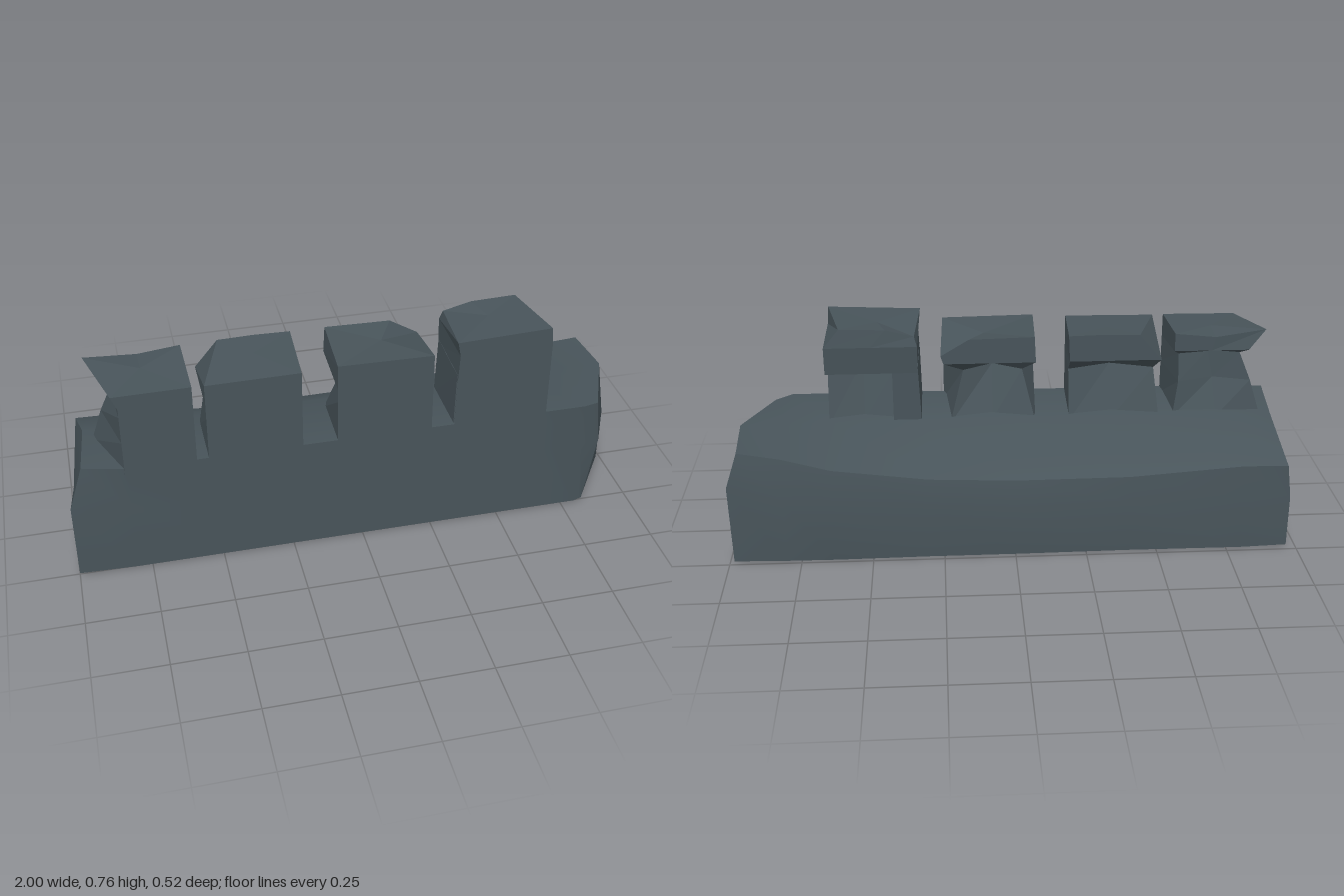
import * as THREE from 'three';
import { toCreasedNormals } from 'three/addons/utils/BufferGeometryUtils.js';

// Skin a row of equal-length rings; each end is closed by a fan around its tip.
function loft(rings, crease, startTip, endTip) {
  const out = [];
  const tri = (a, b, c) => out.push(...a, ...b, ...c);
  const centre = (r) => [0, 1, 2].map((k) => r.reduce((s, p) => s + p[k], 0) / r.length);
  const n = rings[0].length;
  const first = rings[0], last = rings[rings.length - 1];
  const a0 = startTip || centre(first), a1 = endTip || centre(last);
  for (let i = 0; i < n; i++) {
    const j = (i + 1) % n;
    for (let r = 0; r < rings.length - 1; r++) {
      const a = rings[r], b = rings[r + 1];
      tri(a[i], a[j], b[j]);
      tri(a[i], b[j], b[i]);
    }
    tri(a0, first[j], first[i]);
    tri(a1, last[i], last[j]);
  }
  const g = new THREE.BufferGeometry();
  g.setAttribute('position', new THREE.Float32BufferAttribute(out, 3));
  g.computeVertexNormals();
  return crease ? toCreasedNormals(g, crease) : g;
}

export function createModel() {
  const model = new THREE.Group();
  model.name = 'battlementWall';
  const stone = new THREE.MeshStandardMaterial({ color: 0x48545a });
  stone.name = 'darkStone';

  const add = (parent, name, geometry) => {
    const m = new THREE.Mesh(geometry, stone);
    m.name = name;
    parent.add(m);
  };

  // Wall base: sections along x, flat in front, bulging and sloped at the back
  const section = (x, zBottom, zMid, yMid, zTop, yTop) => [
    [x, 0.005, 0.26], [x, 0, 0.02], [x, 0.003, zBottom], [x, yMid, zMid],
    [x, yTop, zTop], [x, 0.422, 0], [x, 0.425, 0.26], [x, 0.26, 0.26],
  ];
  const leftEnd = [
    [0.83, 0.01, 0.255], [0.985, 0.003, 0.02], [0.985, 0.005, -0.235], [0.99, 0.29, -0.235],
    [0.95, 0.41, -0.21], [0.96, 0.42, 0], [0.86, 0.415, 0.235], [0.88, 0.25, 0.235],
  ];
  const rightEnd = [
    [-1, 0.012, 0.26], [-0.985, 0.01, 0.02], [-0.965, 0.01, -0.235], [-0.965, 0.2, -0.235],
    [-0.95, 0.32, -0.232], [-0.93, 0.42, 0], [-0.95, 0.43, 0.23], [-1, 0.29, 0.26],
  ];
  add(model, 'wallBase', loft([
    rightEnd,
    section(-0.8, -0.232, -0.235, 0.2, -0.225, 0.32),
    section(-0.4, -0.23, -0.235, 0.2, -0.225, 0.29),
    section(0, -0.235, -0.25, 0.2, -0.23, 0.29),
    section(0.3, -0.235, -0.24, 0.2, -0.225, 0.3),
    section(0.63, -0.24, -0.262, 0.22, -0.24, 0.35),
    section(0.8, -0.238, -0.25, 0.24, -0.225, 0.39),
    leftEnd,
  ], 0.7, [-0.985, 0.2, 0.02], [0.995, 0.2, 0]));

  // Level of a merlon: front left/right x, back left/right x, back z, middle notch z
  const level = (y, fl, fr, bl, br, zb, zn = zb) => [
    [fl, y, 0.26], [fr, y, 0.26], [br, y, zb], [(bl + br) / 2, y, zn], [bl, y, zb],
  ];

  // First merlon: pinched on its outer side under a pointed overhanging cap
  add(model, 'flaredMerlon', loft([
    level(0.4, -0.81, -0.57, -0.9, -0.58, 0.03),
    level(0.53, -0.81, -0.57, -0.86, -0.6, 0.05, 0.09),
    level(0.63, -0.81, -0.57, -0.82, -0.6, 0.07, 0.1),
    level(0.66, -0.81, -0.57, -0.84, -0.575, 0.015),
    [[-0.83, 0.71, 0.26], [-0.57, 0.712, 0.26], [-0.575, 0.725, 0.015], [-0.72, 0.71, 0.015], [-0.9, 0.73, 0.03]],
  ]));

  // Two middle merlons with chipped hollows below the cap at the back
  add(model, 'chippedMerlon', loft([
    level(0.4, -0.53, -0.21, -0.53, -0.205, 0.02, 0.05),
    level(0.58, -0.53, -0.21, -0.51, -0.205, 0.07, 0.12),
    level(0.63, -0.53, -0.21, -0.53, -0.205, 0.012),
    [[-0.53, 0.71, 0.26], [-0.21, 0.713, 0.26], [-0.2, 0.725, 0.012], [-0.33, 0.728, 0.012], [-0.45, 0.725, 0.012]],
  ]));
  add(model, 'hollowMerlon', loft([
    level(0.4, -0.09, 0.24, -0.085, 0.22, 0.015, 0.05),
    level(0.58, -0.09, 0.24, -0.04, 0.17, 0.08, 0.14),
    level(0.63, -0.09, 0.24, -0.085, 0.24, 0.012),
    [[-0.09, 0.72, 0.26], [0.24, 0.715, 0.26], [0.25, 0.66, 0.012], [0.15, 0.72, 0.012], [-0.08, 0.725, 0.012]],
  ]));

  // Last merlon: tallest, with a corner post and a recessed back under its cap
  const tall = new THREE.Group();
  tall.name = 'tallMerlon';
  model.add(tall);
  add(tall, 'recessedBody', loft([
    level(0.4, 0.32, 0.655, 0.4, 0.65, 0.03, 0.06),
    level(0.61, 0.325, 0.655, 0.4, 0.65, 0.09, 0.13),
  ]));
  add(tall, 'cornerPost', loft([
    [[0.32, 0.4, 0.25], [0.42, 0.4, 0.25], [0.42, 0.4, 0.012], [0.32, 0.4, 0.012]],
    [[0.325, 0.62, 0.25], [0.42, 0.62, 0.25], [0.42, 0.62, 0.012], [0.33, 0.62, 0.012]],
  ]));
  add(tall, 'cap', loft([
    level(0.6, 0.325, 0.655, 0.33, 0.655, 0.012),
    level(0.7, 0.33, 0.655, 0.33, 0.655, 0.005),
    [[0.32, 0.752, 0.26], [0.65, 0.765, 0.26], [0.6, 0.765, 0.015], [0.44, 0.76, 0.015], [0.34, 0.735, 0.015]],
  ]));

  return model;
}
